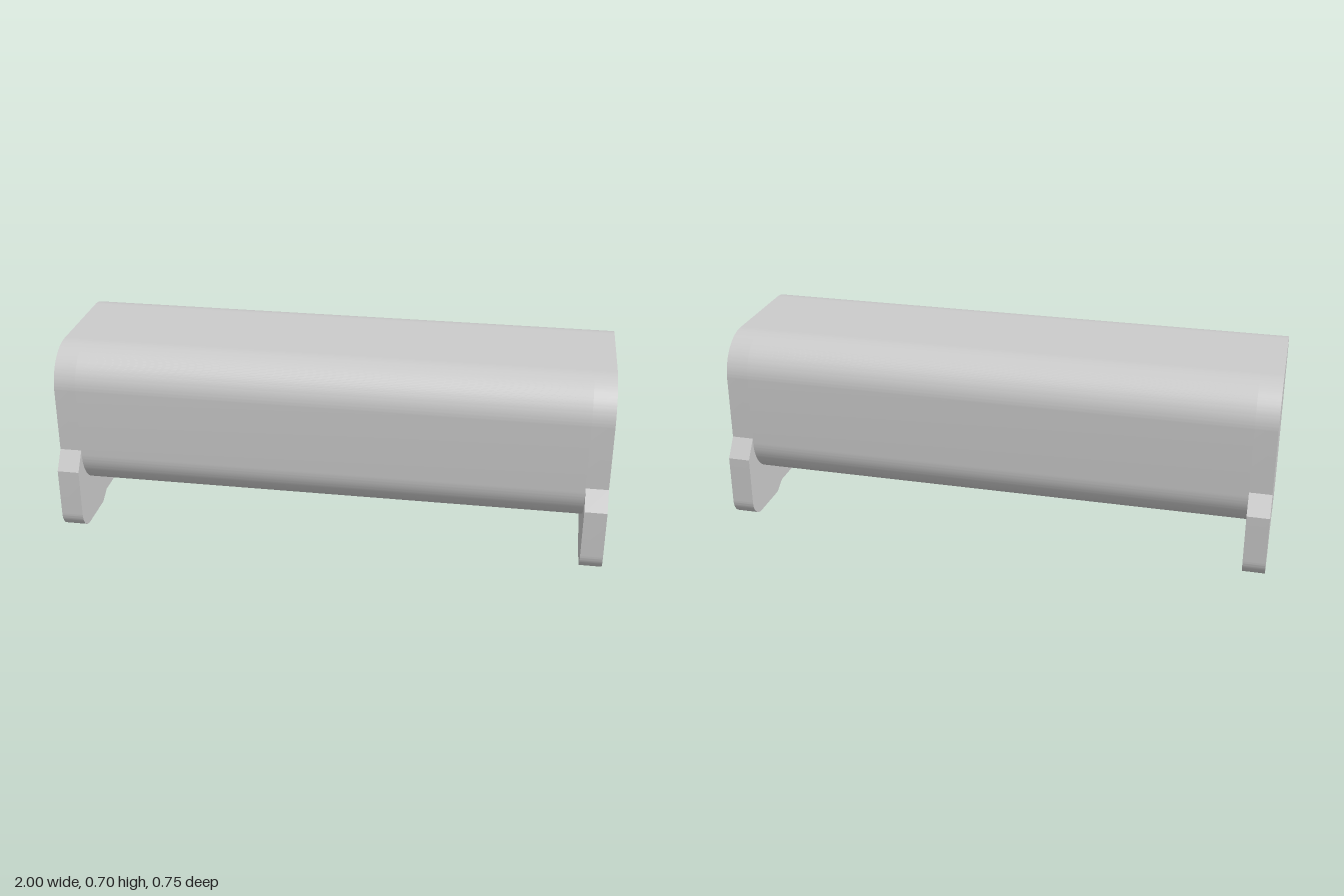
import * as THREE from 'three';
import { toCreasedNormals } from 'three/addons/utils/BufferGeometryUtils.js';

const TOP = 0.7, HALF = 0.326, RADIUS = 0.15; // shared rounded section
const BODY_BOTTOM = 0.15, PLATE = 0.08;
const FOOT_HALF = 0.375, FOOT_RADIUS = 0.07;

// Rounded upper half, from the right side over the top to the left side
function roundedTop(shape) {
  shape.absarc(HALF - RADIUS, TOP - RADIUS, RADIUS, 0, Math.PI / 2);
  shape.absarc(-HALF + RADIUS, TOP - RADIUS, RADIUS, Math.PI / 2, Math.PI);
}

// Extrude a cross-section along x, centred on the origin
function extrudeAlongX(shape, length) {
  const g = new THREE.ExtrudeGeometry(shape, { depth: length, bevelEnabled: false, curveSegments: 20 });
  g.translate(0, 0, -length / 2);
  g.rotateY(Math.PI / 2);
  return toCreasedNormals(g, 0.4);
}

function bodySection() {
  const s = new THREE.Shape();
  const y = BODY_BOTTOM + RADIUS;
  roundedTop(s);
  s.absarc(-HALF + RADIUS, y, RADIUS, Math.PI, Math.PI * 1.5);
  s.absarc(HALF - RADIUS, y, RADIUS, Math.PI * 1.5, Math.PI * 2);
  s.closePath();
  return s;
}

function plateSection() {
  const s = new THREE.Shape();
  const c = FOOT_HALF - FOOT_RADIUS;
  roundedTop(s);
  // Sloping shoulder and rounded foot
  s.lineTo(-HALF, 0.316);
  s.lineTo(-FOOT_HALF, 0.248);
  s.absarc(-c, FOOT_RADIUS, FOOT_RADIUS, Math.PI, Math.PI * 1.5);
  // Shallow notch between the feet
  s.lineTo(-0.15, 0);
  s.lineTo(-0.1, 0.03);
  s.lineTo(0.1, 0.03);
  s.lineTo(0.15, 0);
  s.absarc(c, FOOT_RADIUS, FOOT_RADIUS, Math.PI * 1.5, Math.PI * 2);
  s.lineTo(FOOT_HALF, 0.248);
  s.lineTo(HALF, 0.316);
  s.closePath();
  return s;
}

export function createModel() {
  const group = new THREE.Group();
  const material = new THREE.MeshStandardMaterial({ color: 0xcccccc });

  // Long rounded body between the end plates
  const body = new THREE.Mesh(extrudeAlongX(bodySection(), 2 - 2 * PLATE), material);
  body.name = 'body';
  group.add(body);

  // End plates with feet
  const plateGeometry = extrudeAlongX(plateSection(), PLATE);
  for (const side of [1, -1]) {
    const plate = new THREE.Mesh(plateGeometry, material);
    plate.name = side > 0 ? 'leftEndPlate' : 'rightEndPlate';
    plate.position.x = side * (1 - PLATE / 2);
    group.add(plate);
  }
  return group;
}
